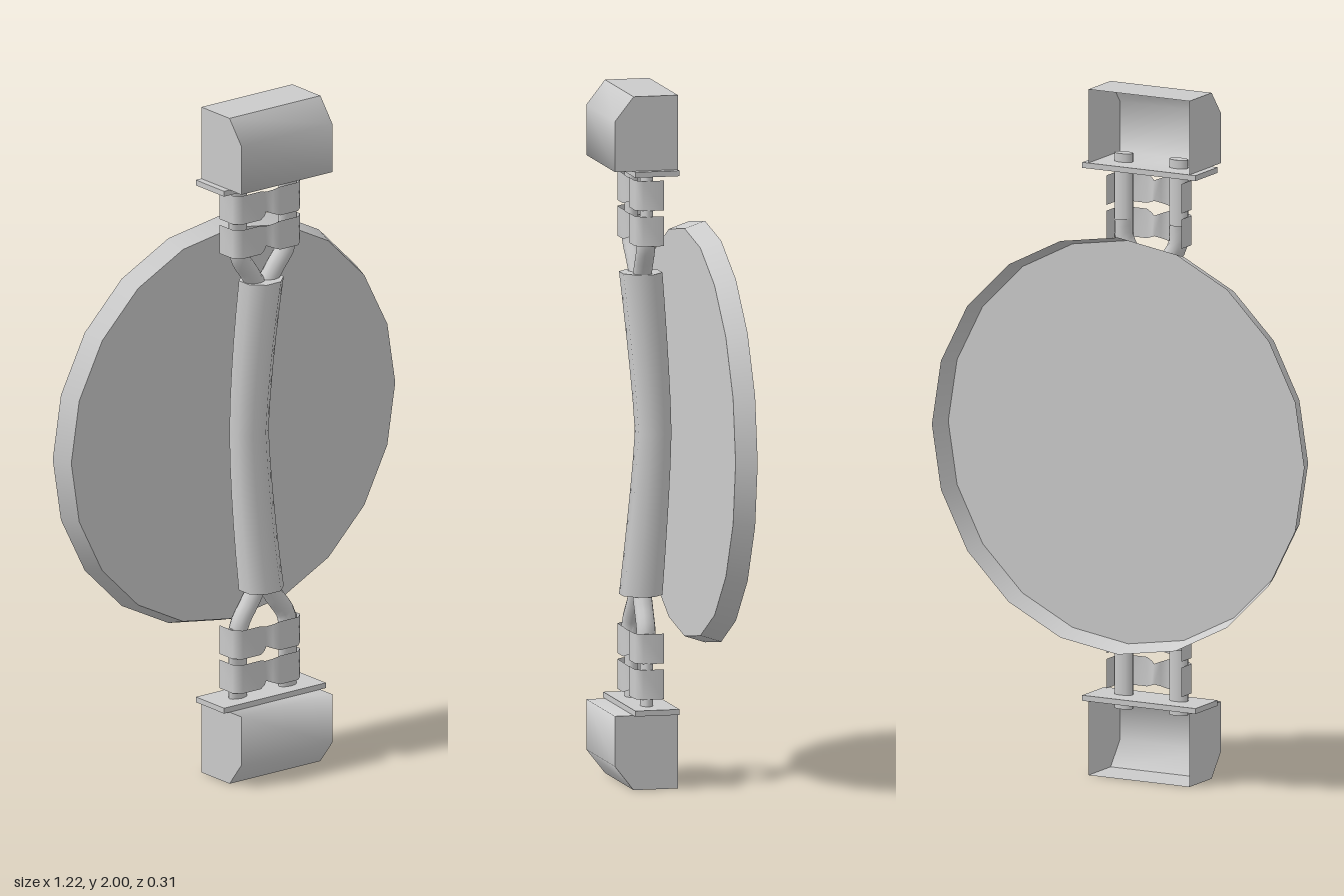
import * as THREE from 'three';

const grey = new THREE.MeshStandardMaterial({ color: 0xcccccc, side: THREE.DoubleSide });

function add(parent, name, geometry, x = 0, y = 0, z = 0) {
  const mesh = new THREE.Mesh(geometry, grey);
  mesh.name = name;
  mesh.position.set(x, y, z);
  parent.add(mesh);
  return mesh;
}

// Smooth surface through rows of [x, y, z] points
function surface(rows) {
  const n = rows[0].length, index = [];
  for (let r = 0; r < rows.length - 1; r++) {
    for (let c = 0; c < n - 1; c++) {
      const a = r * n + c, b = a + 1, d = a + n, e = d + 1;
      index.push(a, b, d, b, e, d);
    }
  }
  const g = new THREE.BufferGeometry();
  g.setAttribute('position', new THREE.Float32BufferAttribute(rows.flat(2), 3));
  g.setIndex(index);
  g.computeVertexNormals();
  return g;
}

// Bracket at one end of the grip, in heights above the middle of the model
function makeBracket() {
  const bracket = new THREE.Group();

  // Hollow housing with a chamfered front edge and an open back: [z, y]
  const w = 0.165;
  const profile = [[-0.03, 0.785], [0.155, 0.785], [0.155, 0.93], [0.1, 1], [-0.03, 1]];
  const strip = pts => surface(pts.map(([z, y]) => [[-w, y, z], [w, y, z]]));
  add(bracket, 'housingFront', strip(profile.slice(0, 4)));
  add(bracket, 'housingTop', strip(profile.slice(3)));
  const endShape = new THREE.Shape(profile.map(([z, y]) => new THREE.Vector2(-z, y)));
  for (const s of [-1, 1]) {
    const end = add(bracket, 'housingEnd', new THREE.ShapeGeometry(endShape), s * w);
    end.geometry.rotateY(Math.PI / 2);
    if (s < 0) {
      // Turn the face outward on the -x end
      const g = end.geometry, idx = g.index.array;
      for (let i = 0; i < idx.length; i += 3) [idx[i], idx[i + 1]] = [idx[i + 1], idx[i]];
      g.computeVertexNormals();
    }
  }

  // Flange plate under the housing
  add(bracket, 'flange', new THREE.BoxGeometry(0.37, 0.016, 0.13), 0, 0.777, 0.035);

  // Two flattened pins and the tubes that join them to the grip
  for (const s of [-1, 1]) {
    const pin = add(bracket, 'pin', new THREE.CylinderGeometry(0.03, 0.03, 0.25, 12), s * 0.09, 0.685, 0.043);
    pin.scale.z = 0.6;
    const path = new THREE.CatmullRomCurve3([
      new THREE.Vector3(s * 0.09, 0.62, 0.043),
      new THREE.Vector3(s * 0.085, 0.555, 0.043),
      new THREE.Vector3(s * 0.045, 0.495, 0.04),
      new THREE.Vector3(s * 0.012, 0.445, 0.038),
    ]);
    add(bracket, 'forkTube', new THREE.TubeGeometry(path, 10, 0.028, 10));
  }

  // Clips wrapped round both pins, pinched in the middle and open at the back: [x, z, half height]
  const half = [[0.015, 0.072, 0.036], [0.035, 0.08, 0.043], [0.1, 0.08, 0.043],
    [0.122, 0.06, 0.043], [0.122, 0, 0.043]];
  const clip = [...half.map(([x, z, h]) => [-x, z, h]).reverse(), [0, 0.06, 0.03], ...half];
  for (const y of [0.602, 0.705]) {
    add(bracket, 'clip', surface([-1, 1].map(s => clip.map(([x, z, h]) => [x, y + s * h, z]))));
  }
  return bracket;
}

export function createModel() {
  const model = new THREE.Group();
  model.name = 'discWithGrip';

  // Shallow dish, flaring toward its open back
  const dish = new THREE.Group();
  dish.name = 'dish';
  dish.position.y = 1;
  model.add(dish);
  const rim = new THREE.CylinderGeometry(0.588, 0.608, 0.06, 20, 1, true).rotateX(Math.PI / 2);
  add(dish, 'dishRim', rim, 0, 0, -0.122);
  add(dish, 'dishFace', new THREE.CircleGeometry(0.588, 20), 0, 0, -0.092);

  // Grip bar, bowed back toward the dish and slimmer in the middle
  const L = 0.465;
  const bar = new THREE.CylinderGeometry(1, 1, 2 * L, 8, 10, false, Math.PI * 1.125);
  const p = bar.attributes.position;
  for (let i = 0; i < p.count; i++) {
    const t = Math.abs(p.getY(i)) / L;
    const bow = Math.pow(t, 1.3);
    p.setX(i, p.getX(i) * (0.06 + 0.008 * t) - 0.013 * (1 - t * t));
    p.setZ(i, p.getZ(i) * (0.052 + 0.01 * t) - 0.003 + 0.04 * bow);
  }
  add(model, 'gripBar', bar, 0, 1.003, 0);

  // Matching brackets at both ends
  for (const [name, turn] of [['upperBracket', 0], ['lowerBracket', Math.PI]]) {
    const bracket = makeBracket();
    bracket.name = name;
    bracket.position.y = 1;
    bracket.rotation.z = turn;
    model.add(bracket);
  }
  return model;
}
